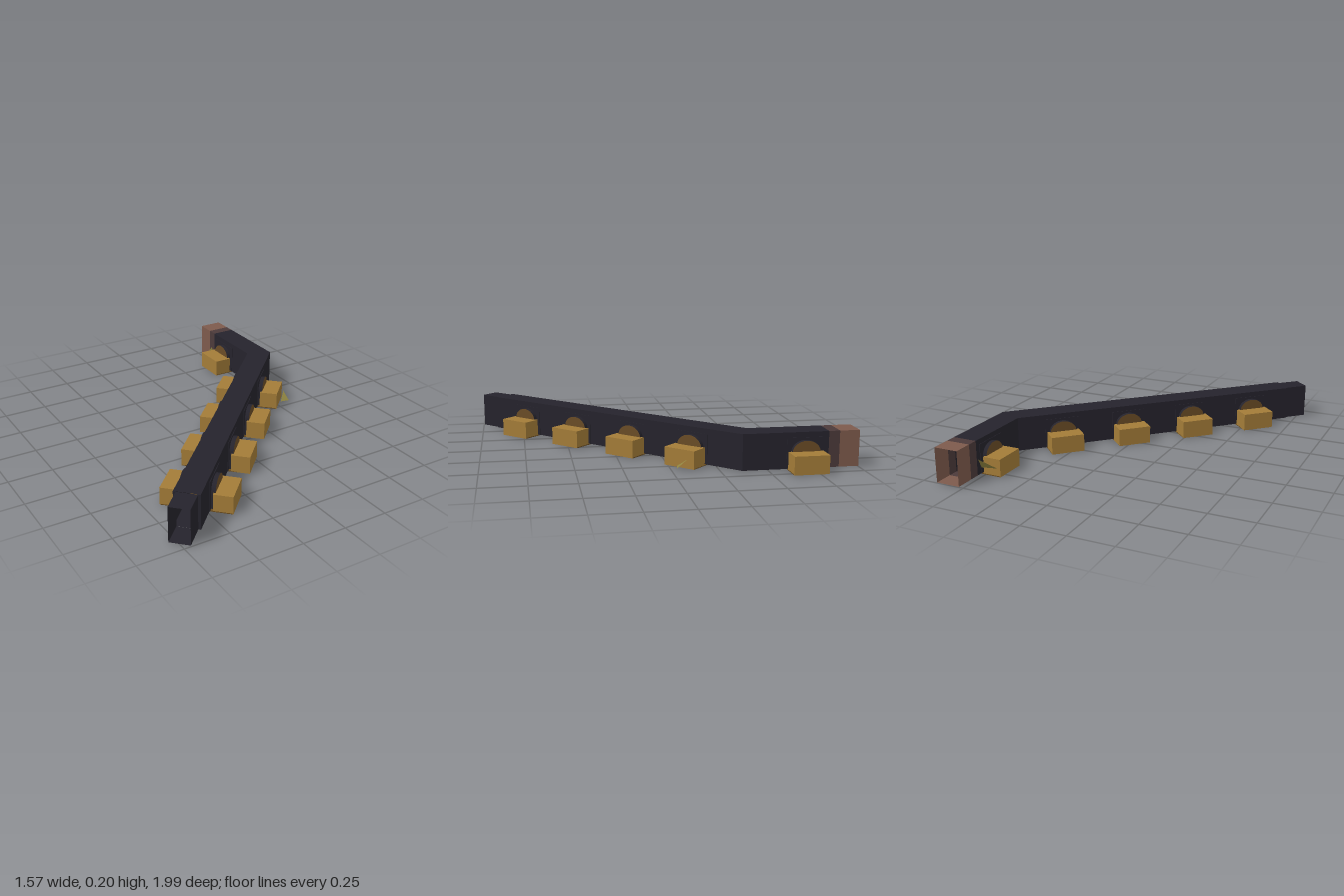
import * as THREE from 'three';

const mat = (color, side = THREE.FrontSide) =>
  new THREE.MeshStandardMaterial({ color, side, flatShading: true });

const HALF = 0.069, HEIGHT = 0.2, OUTER = 0.19, ROOM = 0.19;
const R = Math.SQRT1_2;

// Point on the diagonal stretch: s along it, w across it
const diagonal = (s, w) => [0.1025 + s * R + w * R, 0.1025 - s * R + w * R];

// Hollow rectangular passage through [left, right] floor points, open at both ends
function passage(name, stations, material, y0 = 0.003, y1 = HEIGHT) {
  const pos = [];
  const rings = stations.map(([l, r]) => [
    [l[0], y0, l[1]], [r[0], y0, r[1]], [r[0], y1, r[1]], [l[0], y1, l[1]],
  ]);
  for (let i = 0; i < rings.length - 1; i++) {
    for (let k = 0; k < 4; k++) {
      const a = rings[i][k], b = rings[i][(k + 1) % 4];
      const c = rings[i + 1][(k + 1) % 4], d = rings[i + 1][k];
      pos.push(...a, ...b, ...c, ...a, ...c, ...d);
    }
  }
  const g = new THREE.BufferGeometry();
  g.setAttribute('position', new THREE.Float32BufferAttribute(pos, 3));
  g.computeVertexNormals();
  const mesh = new THREE.Mesh(g, material);
  mesh.name = name;
  return mesh;
}

// Rounded-top doorway outline
function archShape(half, spring, top) {
  const s = new THREE.Shape();
  s.moveTo(-half, 0.003);
  s.lineTo(half, 0.003);
  s.lineTo(half, spring);
  s.absellipse(0, spring, half, top - spring, 0, Math.PI, false);
  s.closePath();
  return s;
}

export function createModel() {
  const model = new THREE.Group();
  const dark = mat(0x25232c, THREE.DoubleSide);
  const darkSolid = mat(0x25232c);
  const rust = mat(0x7d5a4c, THREE.DoubleSide);
  const rustDark = mat(0x4c3a3a, THREE.DoubleSide);
  const gold = mat(0xa37c38);
  const floorGold = mat(0x6b4d20);
  const doorway = mat(0x6a4c26);
  const scrap = mat(0x8f8440, THREE.DoubleSide);

  // Main corridor with its mitred bend, narrow front mouth and rusty rear mouth
  const CX = 0.595, miter = HALF * Math.tan(Math.PI / 8);
  const straight = (z) => [[CX - HALF, z], [CX + HALF, z]];
  const across = (s, h) => [diagonal(s, -h), diagonal(s, h)];
  const bend = [[CX - HALF, -0.39 - miter], [CX + HALF, -0.39 + miter]];
  model.add(
    passage('corridor', [across(-1.07, HALF), bend, straight(-0.83)], dark),
    passage('frontMouth', [across(-1.206, 0.055), across(-1.07, 0.055)], dark, 0.002, 0.198),
    passage('rearTransition', [straight(-0.83), straight(-0.89)], rustDark),
    passage('rearMouth', [straight(-0.89), straight(-1)], rust),
  );

  // Collar closing the step between the front mouth and the corridor
  for (const side of [-1, 1]) {
    const collar = new THREE.Mesh(new THREE.BoxGeometry(0.014, 0.195, 0.006), darkSolid);
    const [x, z] = diagonal(-1.067, side * 0.062);
    collar.position.set(x, 0.1, z);
    collar.rotation.y = -Math.PI / 4;
    collar.name = 'mouthCollar';
    model.add(collar);
  }

  // Pair of side rooms, joined by a floor band and entered through arched porches
  const roomGeo = new THREE.BoxGeometry(OUTER - 0.085, 0.1, ROOM);
  const bandGeo = new THREE.BoxGeometry(2 * OUTER - 0.01, 0.005, ROOM);
  const porchGeo = new THREE.ExtrudeGeometry(archShape(0.077, 0.095, 0.158),
    { depth: 0.026, bevelEnabled: false, curveSegments: 10 });
  const trimGeo = new THREE.BoxGeometry(0.004, 0.168, 0.2);

  function roomPair(x, z, angle) {
    const pair = new THREE.Group();
    pair.name = 'roomPair';
    const band = new THREE.Mesh(bandGeo, floorGold);
    band.position.y = 0.0025;
    band.name = 'floorBand';
    pair.add(band);
    for (const side of [-1, 1]) {
      const room = new THREE.Mesh(roomGeo, gold);
      room.position.set(side * (OUTER + 0.085) / 2, 0.05, 0);
      room.name = 'sideRoom';
      const porch = new THREE.Mesh(porchGeo, [doorway, darkSolid]);
      porch.rotation.y = side * Math.PI / 2;
      porch.position.x = side * HALF;
      porch.name = 'archedPorch';
      const trim = new THREE.Mesh(trimGeo, darkSolid);
      trim.position.set(side * (HALF + 0.001), 0.087, 0);
      trim.name = 'wallTrim';
      pair.add(room, porch, trim);
    }
    pair.position.set(x, 0, z);
    pair.rotation.y = angle;
    model.add(pair);
  }
  for (const s of [-0.805, -0.4, 0.003, 0.408]) {
    const [x, z] = diagonal(s, 0);
    roomPair(x, z, -Math.PI / 4);
  }
  roomPair(CX, -0.7, 0);

  // Loose scraps leaning on two of the rooms
  for (const corners of [
    [0.53, 0.01, -0.04, 0.585, 0.01, -0.03, 0.58, 0.055, -0.085],
    [0.42, 0.05, -0.8, 0.52, 0.04, -0.8, 0.51, 0.1, -0.84],
  ]) {
    const g = new THREE.BufferGeometry();
    g.setAttribute('position', new THREE.Float32BufferAttribute(corners, 3));
    g.computeVertexNormals();
    const flap = new THREE.Mesh(g, scrap);
    flap.name = 'looseScrap';
    model.add(flap);
  }
  return model;
}
